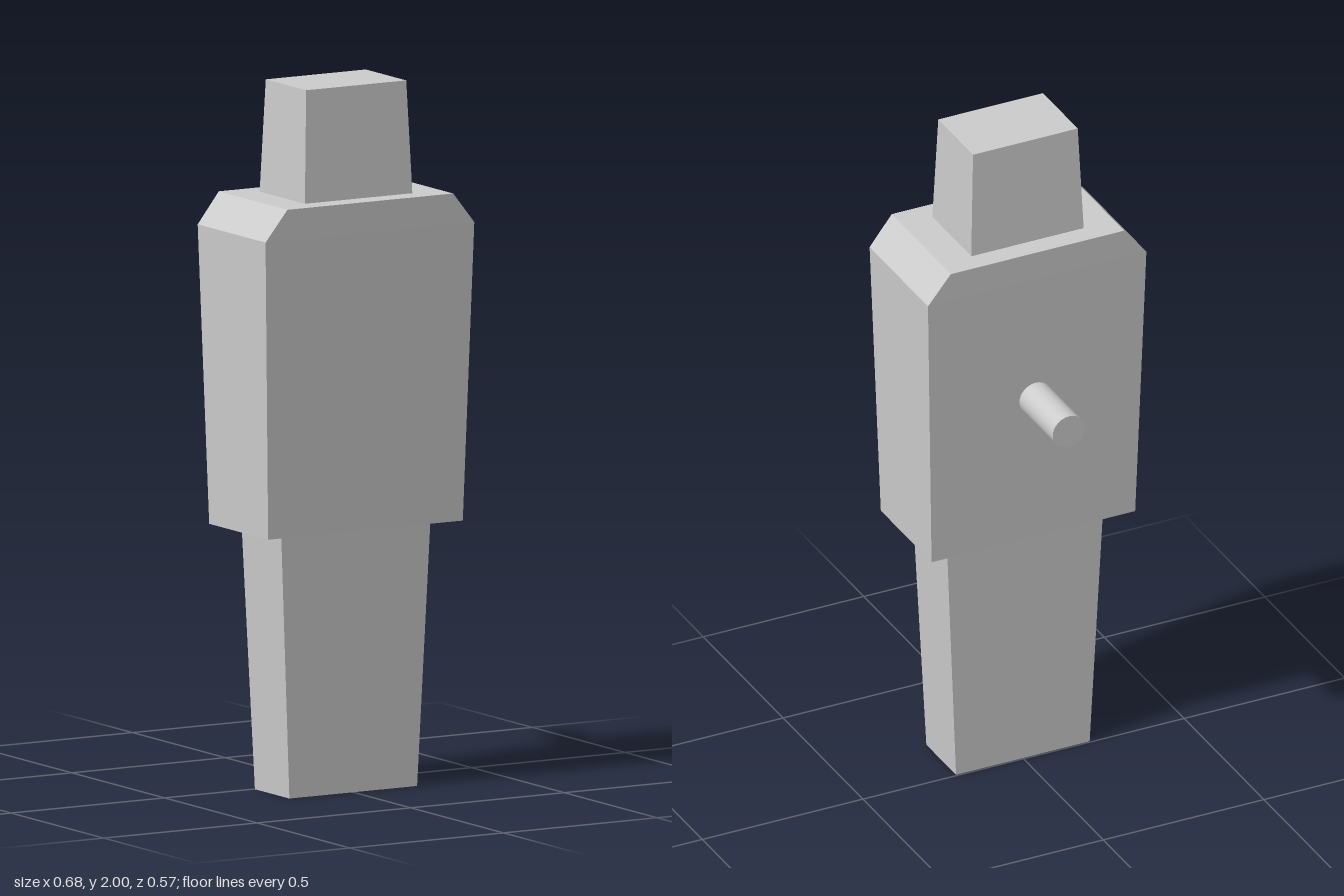
import * as THREE from 'three';

const MID_Z = 0.097; // depth centre of the stacked blocks

// Block lofted through rectangular levels [y, halfWidth, halfDepth], listed bottom to top.
function taperedBlock(name, levels, material) {
  const geometry = new THREE.BoxGeometry(2, 1, 2, 1, levels.length - 1, 1);
  const p = geometry.attributes.position;
  for (let i = 0; i < p.count; i++) {
    const level = Math.round((p.getY(i) + 0.5) * (levels.length - 1));
    const [y, w, d] = levels[level];
    p.setXYZ(i, Math.sign(p.getX(i)) * w, y, Math.sign(p.getZ(i)) * d + MID_Z);
  }
  const flat = geometry.toNonIndexed();
  flat.computeVertexNormals();
  const mesh = new THREE.Mesh(flat, material);
  mesh.name = name;
  return mesh;
}

export function createModel() {
  const model = new THREE.Group();
  model.name = 'figure';
  const flatGrey = new THREE.MeshStandardMaterial({ color: 0xcccccc, flatShading: true });
  const smoothGrey = new THREE.MeshStandardMaterial({ color: 0xcccccc });

  // Legs, torso with sloped shoulders, and head
  model.add(
    taperedBlock('legs', [[0, 0.208, 0.093], [0.75, 0.243, 0.107]], flatGrey),
    taperedBlock('torso', [[0.75, 0.317, 0.159], [1.595, 0.34, 0.183], [1.682, 0.27, 0.185]], flatGrey),
    taperedBlock('head', [[1.682, 0.175, 0.122], [2, 0.163, 0.109]], flatGrey),
  );

  // Round peg sticking out of the back
  const peg = new THREE.Mesh(new THREE.CylinderGeometry(0.05, 0.05, 0.234, 32), smoothGrey);
  peg.name = 'backPeg';
  peg.rotation.x = Math.PI / 2;
  peg.position.set(0, 1.205, -0.167);
  model.add(peg);

  return model;
}
